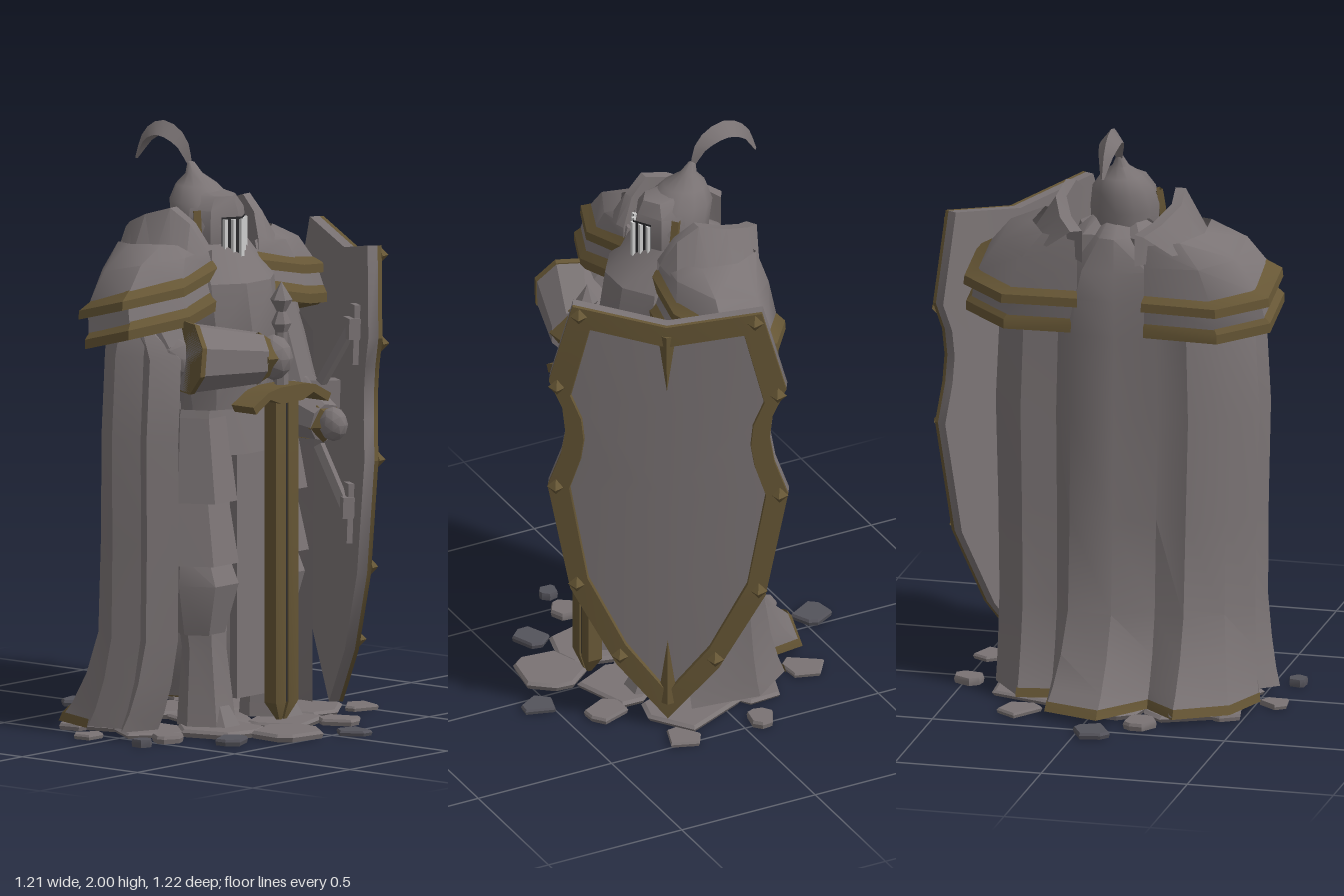
import * as THREE from 'three';
import { toCreasedNormals } from 'three/addons/utils/BufferGeometryUtils.js';

const V = (x, y, z) => new THREE.Vector3(x, y, z);
const GREY = 0x7a7374, GOLD = 0x665635, DARK = 0x2a2a2d, SLATE = 0x54535b, STEEL = 0xc8cccc;
const MID = 0.035; // z of the body's plane of symmetry

function add(parent, name, geo, color = GREY, crease = 0.5) {
  const mat = new THREE.MeshStandardMaterial({ color, side: THREE.DoubleSide });
  const mesh = new THREE.Mesh(toCreasedNormals(geo, crease), mat);
  mesh.name = name;
  parent.add(mesh);
  return mesh;
}

// Skin through rows of points
function loft(rows, closed = false) {
  const n = rows[0].length, pos = [], idx = [];
  rows.forEach(r => r.forEach(p => pos.push(p.x, p.y, p.z)));
  for (let i = 0; i < rows.length - 1; i++)
    for (let j = 0; j < (closed ? n : n - 1); j++) {
      const a = i * n + j, b = i * n + (j + 1) % n;
      idx.push(a, b, a + n, b, b + n, a + n);
    }
  const g = new THREE.BufferGeometry();
  g.setAttribute('position', new THREE.Float32BufferAttribute(pos, 3));
  g.setIndex(idx);
  g.computeVertexNormals();
  return g;
}

// Tapered cylinder between two points
function limb(a, b, r1, r2, sides = 8) {
  const d = b.clone().sub(a);
  const g = new THREE.CylinderGeometry(r2, r1, d.length(), sides);
  g.applyQuaternion(new THREE.Quaternion().setFromUnitVectors(V(0, 1, 0), d.normalize()));
  const m = a.clone().add(b).multiplyScalar(0.5);
  return g.translate(m.x, m.y, m.z);
}

const box = (w, h, d, x, y, z) => new THREE.BoxGeometry(w, h, d).translate(x, y, z);

// Oval ring of points: centre, radii, height
const ring = (x, y, z, rx, rz, n = 10) => Array.from({ length: n }, (_, i) => {
  const a = (i + 0.5) / n * Math.PI * 2;
  return V(x + rx * Math.cos(a), y, z + rz * Math.sin(a));
});

function buildCape(root) {
  // shoulder x, z and hem x, z from the right front edge round the back
  const folds = [
    [0.19, 0.42, 0.10, 0.42], [0.12, 0.50, 0.05, 0.55], [0.06, 0.46, 0.0, 0.49],
    [-0.03, 0.50, -0.12, 0.52], [-0.14, 0.42, -0.29, 0.46], [-0.20, 0.30, -0.39, 0.29],
    [-0.18, 0.19, -0.29, 0.18], [-0.22, 0.05, -0.46, 0.05], [-0.21, -0.10, -0.40, -0.14],
    [-0.17, -0.16, -0.25, -0.16], [-0.18, -0.28, -0.27, -0.27], [-0.08, -0.39, -0.12, -0.38],
    [0.02, -0.36, 0.03, -0.36], [0.14, -0.34, 0.12, -0.35]];
  // front keeps the edges tucked back under the shoulders
  const row = (y, t, sx = 1, sz = 1, front = 1) => folds.map(([x, z, hx, hz]) =>
    V(Math.min(front, (x + (hx - x) * t) * sx), y, MID + (z + (hz - z) * t - MID) * sz));
  add(root, 'cape', loft([row(1.66, 0, 0.5, 0.22, -0.08), row(1.61, 0, 0.85, 0.35, -0.07), row(1.5, 0, 0.95, 0.75, -0.04),
    row(1.4, 0, 1, 0.9, 0.05), row(1.28, 0, 1, 0.97), row(1.0, 0.03), row(0.65, 0.08, 1, 0.98), row(0.33, 0.16, 1, 0.97),
    row(0.19, 0.42, 1, 0.98), row(0.09, 0.73, 1, 0.99), row(0.03, 1)]), GREY, 0.6);
  add(root, 'capeHem', loft([row(0.055, 0.92, 1.01, 1.01), row(0.025, 1, 1.012, 1.012)].map(r => r.slice(3, 11))), GOLD);
}

function buildBody(root) {
  add(root, 'torso', loft([ring(0.06, 0.95, MID, 0.13, 0.17), ring(0.06, 1.08, MID, 0.13, 0.16),
    ring(0.05, 1.32, MID, 0.2, 0.2), ring(0.03, 1.5, MID, 0.19, 0.2), ring(-0.02, 1.62, MID, 0.13, 0.15),
    ring(-0.02, 1.63, MID, 0.05, 0.05)], true));
  add(root, 'belt', loft([ring(0.06, 1.08, MID, 0.15, 0.22), ring(0.06, 0.93, MID, 0.17, 0.26)], true));
  add(root, 'loinCloth', box(0.03, 0.95, 0.16, 0.17, 0.58, MID));
  for (const s of [1, -1]) {
    const z = MID + s * 0.17;
    // layered thigh plates, widening downward
    [[1.06, 0.78, 0.1], [0.8, 0.57, 0.115]].forEach(([t, b, r]) =>
      add(root, 'thighPlate', loft([ring(0.09, t, z, 0.1, r - 0.01, 6), ring(0.11, b, z + s * 0.01, 0.13, r + 0.015, 6)], true)));
    add(root, 'kneeGuard', loft([ring(0.1, 0.6, z, 0.09, 0.1, 6), ring(0.11, 0.5, z, 0.125, 0.12, 6),
      ring(0.1, 0.33, z, 0.085, 0.08, 6)], true));
    add(root, 'shin', loft([ring(0.1, 0.4, z - s * 0.01, 0.085, 0.085, 6), ring(0.11, 0.28, z - s * 0.01, 0.075, 0.075, 6),
      ring(0.12, 0.02, z - s * 0.01, 0.1, 0.1, 6)], true));
    add(root, 'foot', new THREE.CylinderGeometry(0.035, 0.08, 0.1, 6).scale(1.4, 1, 1.0).translate(0.14, 0.07, z - s * 0.01));
  }
}

function buildShoulder(root, s) {
  const at = pts => pts.map(([x, y, z]) => V(x, y, MID + s * (z - MID)));
  const top = [[0.08, 1.6, 0.15], [0.08, 1.63, 0.24], [0.03, 1.64, 0.32], [-0.1, 1.63, 0.33], [-0.2, 1.62, 0.27], [-0.2, 1.6, 0.15]];
  const rim = [[0.11, 1.56, 0.15], [0.13, 1.52, 0.33], [0.05, 1.49, 0.52], [-0.12, 1.44, 0.52], [-0.22, 1.42, 0.38], [-0.21, 1.42, 0.15]];
  const mid = top.map((p, i) => p.map((v, k) => v * 0.4 + rim[i][k] * 0.6 + (k === 1 ? 0.035 : 0)));
  // push a rim outward, down and forward
  const grow = (pts, out, down, fwd = 0) => pts.map(([x, y, z]) =>
    [-0.04 + fwd + (x + 0.04) * (1 + out), y - down, 0.2 + (z - 0.2) * (1 + out)]);
  const name = s > 0 ? 'right' : 'left';
  add(root, name + 'ShoulderPlate', loft([top, mid, rim].map(at)), GREY, 0.8);
  add(root, name + 'ShoulderTrim', loft([grow(rim, -0.05, -0.02), grow(rim, 0.11, 0.01), grow(rim, 0.12, 0.04), grow(rim, 0, 0.035)].map(at)), GOLD);
  add(root, name + 'LowerPlate', loft([rim, grow(rim, 0.05, 0.09, 0.02)].map(at)), GREY, 0.8);
  add(root, name + 'LowerTrim', loft([grow(rim, 0.02, 0.075, 0.02), grow(rim, 0.11, 0.105, 0.025),
    grow(rim, 0.11, 0.137, 0.025), grow(rim, -0.03, 0.125, 0.02)].map(at)), GOLD);
  // upright neck wing rising from the shoulder
  const wing = [[-0.26, 1.65, 0.16], [-0.2, 1.68, 0.21], [-0.1, 1.72, 0.25], [0, 1.75, 0.24], [0.07, 1.7, 0.22], [0.12, 1.61, 0.19]];
  const foot = wing.map(([x, , z]) => [x * 0.85, 1.58, z + 0.09]);
  const inner = wing.map(([x, y, z]) => [x * 0.92, y, z - 0.035]);
  add(root, name + 'NeckWing', loft([foot, wing, inner, inner.map(([x, , z]) => [x, 1.54, z])].map(at)));
}

function buildArm(root, name, pts, size) {
  const [shoulder, elbow, cuff, wrist, hand] = pts.map(p => V(...p));
  add(root, name + 'UpperArm', limb(shoulder, elbow, 0.1 * size, 0.095 * size));
  add(root, name + 'Elbow', new THREE.IcosahedronGeometry(0.095 * size, 1).translate(elbow.x, elbow.y, elbow.z));
  add(root, name + 'Gauntlet', limb(cuff, wrist, 0.122 * size, 0.088 * size));
  add(root, name + 'CuffTrim', limb(cuff, cuff.clone().lerp(wrist, 0.07), 0.127 * size, 0.124 * size), GOLD);
  add(root, name + 'WristTrim', limb(cuff.clone().lerp(wrist, 0.94), hand, 0.092 * size, 0.05 * size, 5), GOLD);
  add(root, name + 'Hand', new THREE.IcosahedronGeometry(0.07 * size, 1).scale(1, 1.1, 0.85).translate(hand.x, hand.y, hand.z));
}

function buildHelmet(root) {
  const profile = [[0.09, 1.5], [0.11, 1.56], [0.118, 1.68], [0.105, 1.75], [0.07, 1.8], [0.028, 1.835], [0.012, 1.87], [0, 1.875]];
  const g = new THREE.LatheGeometry(profile.map(p => new THREE.Vector2(...p)), 12);
  const p = g.attributes.position;
  for (let i = 0; i < p.count; i++) // lean the crown back
    p.setX(i, p.getX(i) * 1.05 - 0.01 - Math.max(0, p.getY(i) - 1.68) * 0.38);
  add(root, 'helmet', g.translate(0, 0, MID), GREY, 0.8);
  // keel-shaped visor
  const keel = (y, back, side, front, w) => [[back, w], [side, w * 0.8], [front, 0], [side, -w * 0.8], [back, -w]].map(([x, z]) => V(x, y, MID + z));
  add(root, 'visor', loft([keel(1.79, -0.02, -0.01, 0.0, 0.05), keel(1.775, 0.0, 0.065, 0.1, 0.065), keel(1.73, 0.0, 0.075, 0.12, 0.105),
    keel(1.66, 0.0, 0.08, 0.135, 0.115), keel(1.56, 0.0, 0.075, 0.13, 0.105), keel(1.5, 0.0, 0.05, 0.1, 0.07)]), GREY, 0.7);
  const faceX = z => 0.138 - 0.055 * Math.abs(z) / 0.09;
  const slot = y => [0.06, 0, -0.06].map(z => V(faceX(z), y, MID + z));
  add(root, 'visorOpening', loft([slot(1.71), slot(1.57)]), DARK);
  for (const z of [-0.05, -0.025, 0, 0.025, 0.05])
    add(root, 'visorBar', box(0.012, 0.125, 0.015, faceX(z), 1.64, MID + z), STEEL);
  const path = [[0.03, 1.73, 0.102], [0.045, 1.64, 0.112], [0.075, 1.56, 0.088], [0.135, 1.525, 0],
    [0.075, 1.56, -0.088], [0.045, 1.64, -0.112], [0.03, 1.73, -0.102]].map(([x, y, z]) => V(x, y, z + MID));
  add(root, 'visorTrim', new THREE.TubeGeometry(new THREE.CatmullRomCurve3(path, false, 'catmullrom', 0.1), 18, 0.017, 4), GOLD);
  // plume: a ridged leaf swept along an arc
  const arc = new THREE.CatmullRomCurve3([V(-0.08, 1.85, MID), V(-0.12, 1.935, MID), V(-0.2, 1.97, MID), V(-0.27, 1.94, MID), V(-0.32, 1.86, MID)]);
  const rows = [];
  for (let i = 0; i <= 10; i++) {
    const t = i / 10, c = arc.getPoint(t), d = arc.getTangent(t);
    const w = 0.006 + 0.03 * Math.sin(Math.PI * t), n = V(d.y, -d.x, 0).multiplyScalar(w * 0.8);
    const under = c.clone().addScaledVector(n, -0.6);
    rows.push([c.clone().add(n), under.clone().add(V(0, 0, w)), under, under.clone().add(V(0, 0, -w))]);
  }
  add(root, 'plume', loft(rows, true));
}

function buildSword(root) {
  const sword = new THREE.Group();
  sword.name = 'sword';
  sword.position.set(0.31, 0, MID);
  for (const s of [1, -1])
    add(sword, 'bladeEdge', loft([ring(0, 1.12, s * 0.032, 0.036, 0.036, 4), ring(0, 0.1, s * 0.032, 0.036, 0.036, 4),
      ring(0, 0.04, s * 0.012, 0.01, 0.01, 4)], true), GOLD);
  add(sword, 'bladeGroove', box(0.04, 1.02, 0.02, 0, 0.61, 0), DARK);
  // flat crossguard with drooping ends
  const half = [[0.2, 1.115], [0.185, 1.09], [0.11, 1.13], [0.055, 1.11]];
  const shape = new THREE.Shape([[0.06, 1.165], [0.12, 1.155], ...half, ...half.map(([x, y]) => [-x, y]).reverse(),
    [-0.12, 1.155], [-0.06, 1.165]].map(q => new THREE.Vector2(...q)));
  add(sword, 'crossguard', new THREE.ExtrudeGeometry(shape, { depth: 0.095, bevelEnabled: false })
    .translate(0, 0, -0.0475).rotateY(Math.PI / 2), GOLD);
  add(sword, 'grip', limb(V(0, 1.15, 0), V(0, 1.38, 0), 0.024, 0.02, 6));
  const pommel = [[0.02, 1.34], [0.034, 1.37], [0.016, 1.41], [0.038, 1.45], [0, 1.51]];
  add(sword, 'pommel', new THREE.LatheGeometry(pommel.map(q => new THREE.Vector2(...q)), 6));
  root.add(sword);
}

function buildShield(root) {
  const shield = new THREE.Group();
  shield.name = 'shield';
  shield.position.set(0.2, 0, -0.338);
  shield.rotation.set(0.035, Math.PI - 0.56, 0, 'YXZ'); // leans slightly outward at the top
  const half = [[0.315, 1.62], [0.395, 1.32], [0.35, 1.22], [0.34, 1.13], [0.355, 1.04], [0.4, 0.91], [0.325, 0.52], [0.17, 0.24]];
  const outline = [[0, 1.565], ...half, [0, 0.04], ...half.map(([u, y]) => [-u, y]).reverse()];
  const bulge = u => 0.035 * (1 - (u / 0.4) ** 2);
  const row = (su, sy, d) => outline.map(([u, y]) => V(u * su, 0.9 + (y - 0.9) * sy, bulge(u * su) + d));
  add(shield, 'shieldPlate', loft([row(0, 0, 0), row(0.45, 0.5, 0), row(0.87, 0.9, 0), row(1, 1, 0), row(1, 1, -0.035),
    row(0.45, 0.5, -0.035), row(0, 0, -0.035)], true), GREY, 0.7);
  add(shield, 'shieldBorder', loft([row(0.81, 0.88, 0), row(0.82, 0.885, 0.014), row(1, 1, 0.014), row(1, 1, 0)], true), GOLD);
  outline.forEach(([u, y], i) => {
    if ([0, 3, 4, 5, 9, 13, 14, 15].includes(i)) return;
    add(shield, 'stud', new THREE.ConeGeometry(0.03, 0.03, 4).rotateX(Math.PI / 2)
      .translate(u * 0.93, 0.9 + (y - 0.9) * 0.95, bulge(u * 0.93) + 0.028), GOLD);
  });
  add(shield, 'topSpike', new THREE.ConeGeometry(0.03, 0.22, 4).rotateX(Math.PI).scale(1, 1, 0.6).translate(0, 1.42, 0.04), GOLD);
  add(shield, 'bottomSpike', new THREE.ConeGeometry(0.035, 0.24, 4).scale(1, 1, 0.6).translate(0, 0.22, 0.04), GOLD);
  // straps and brackets on the inner face
  for (const y of [1.33, 0.73]) {
    add(shield, 'strapPlate', box(0.05, 0.2, 0.02, -0.23, y - 0.02, -0.03));
    add(shield, 'strapBlock', box(0.07, 0.07, 0.04, -0.23, y, -0.04));
    add(shield, 'strap', limb(V(-0.23, y, -0.04), V(-0.14, 1.03 + (y - 1.03) * 0.35, -0.11), 0.02, 0.02, 4));
  }
  add(shield, 'armBracket', box(0.06, 0.12, 0.18, 0.02, 1.06, -0.07));
  root.add(shield);
}

function buildGround(root) {
  // paving slabs and loose stones: x, z, radius, colour
  const stones = [[0, 0.04, 0.21], [0.23, -0.06, 0.16], [0.2, 0.22, 0.18], [0.03, 0.36, 0.18], [-0.2, 0.29, 0.19], [-0.25, 0.03, 0.18],
    [-0.15, -0.22, 0.2], [0.1, -0.28, 0.19], [0.42, 0.12, 0.145], [-0.35, -0.24, 0.085], [-0.545, 0.05, 0.08, SLATE],
    [-0.42, 0.19, 0.07], [0.54, -0.06, 0.07, SLATE], [0.36, 0.35, 0.075, SLATE], [0.17, 0.58, 0.04, SLATE], [-0.08, 0.56, 0.06],
    [-0.25, 0.44, 0.07], [-0.07, -0.48, 0.06], [0.22, -0.47, 0.08], [0.37, -0.2, 0.085], [0.17, 0.45, 0.065]];
  stones.forEach(([x, z, r, color], i) => {
    const n = 5 + i % 3, h = 0.018 + 0.004 * (i % 3);
    const edge = (y, k) => Array.from({ length: n }, (_, j) => {
      const a = (j + 0.3 * Math.sin(j * 4.1 + i)) / n * Math.PI * 2 + i * 1.3;
      const q = r * k * (1 - 0.22 * Math.abs(Math.sin(j * 2.7 + i * 1.9)));
      return V(x + q * Math.cos(a), y, z + q * Math.sin(a));
    });
    add(root, 'stone', loft([edge(0, 0), edge(0, 0.94), edge(h * 0.6, 1), edge(h, 0.92), edge(h, 0)], true), color);
  });
}

export function createModel() {
  const root = new THREE.Group();
  root.name = 'knightStatue';
  [buildGround, buildBody, buildCape, buildHelmet, buildSword, buildShield].forEach(build => build(root));
  [1, -1].forEach(s => buildShoulder(root, s));
  buildArm(root, 'right', [[-0.02, 1.45, 0.34], [0.11, 1.28, 0.35], [0.19, 1.285, 0.385], [0.295, 1.265, 0.14], [0.31, 1.26, 0.075]], 1);
  buildArm(root, 'left', [[0, 1.45, -0.27], [0.11, 1.1, -0.28], [0.18, 1.02, -0.25], [0.28, 1.0, -0.23], [0.32, 1.0, -0.22]], 0.75);
  return root;
}
